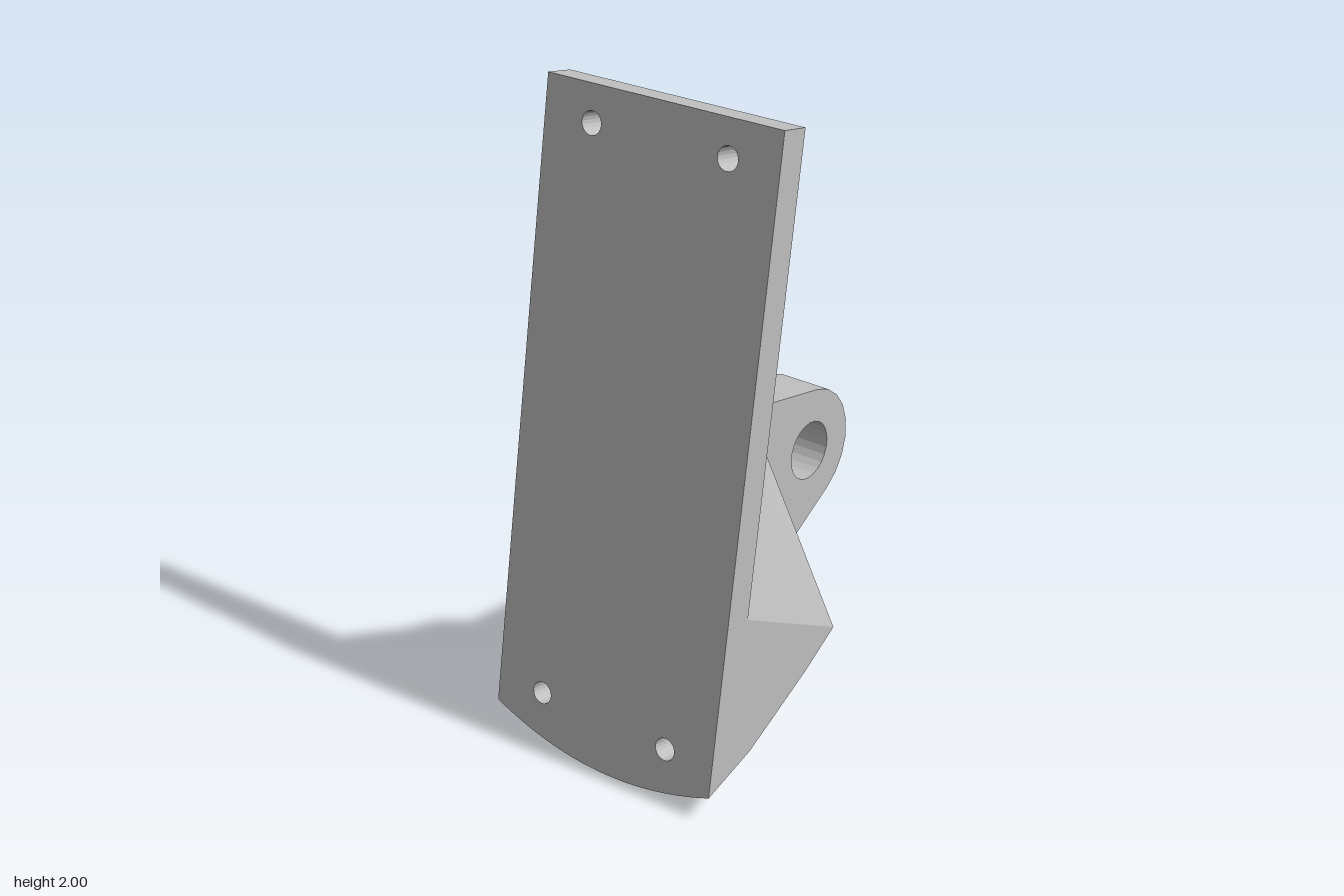
import * as THREE from 'three';

const HALF = 0.414, THICK = 0.092, HEIGHT = 2.027, TILT = 0.166;
const HOLE_X = 0.24, HOLE_Y = 0.167, HOLE_R = 0.035, BORE_R = 0.07;
const LIP = 0.046, BACK = 0.3805;

const metal = new THREE.MeshStandardMaterial({ color: 0xbfbfbf, side: THREE.DoubleSide });
metal.name = 'grey metal';

// Curve of the lower edge across the width
const sag = (x) => 0.079 * (x / HALF) ** 2;

// Underside profile: [height along the plate, depth behind its front face]
const PROFILE = [[0, 0], [0.091, 0.182], [0.274, 0.4255], [BACK, 0.5476]];
function underDepth(x, y) {
  const w = y - sag(x);
  let i = 0;
  while (i < PROFILE.length - 2 && w > PROFILE[i + 1][0]) i++;
  const [a, b] = [PROFILE[i], PROFILE[i + 1]];
  return a[1] + (b[1] - a[1]) * (w - a[0]) / (b[0] - a[0]);
}
const under = (x, y) => new THREE.Vector3(x, y, -underDepth(x, y));

// Flat-shaded mesh from triangles, each turned according to outward(centre, normal)
function facetMesh(name, triangles, outward) {
  const points = [];
  for (const [a, b, c] of triangles) {
    const n = b.clone().sub(a).cross(c.clone().sub(a));
    const mid = a.clone().add(b).add(c).divideScalar(3);
    points.push(...(outward(mid, n) ? [a, b, c] : [a, c, b]));
  }
  const geometry = new THREE.BufferGeometry().setFromPoints(points);
  geometry.computeVertexNormals();
  const mesh = new THREE.Mesh(geometry, metal);
  mesh.name = name;
  return mesh;
}
const quad = (a, b, c, d) => [[a, b, c], [a, c, d]];
const bodyCentre = new THREE.Vector3(0, 0.6, -0.22);
const fromBody = (mid, n) => n.dot(mid.clone().sub(bodyCentre)) > 0;

// Back plate with curved lower edge and four screw holes
function makePlate() {
  const shape = new THREE.Shape();
  shape.moveTo(-HALF, HEIGHT);
  for (let i = 0; i <= 16; i++) {
    const x = -HALF + (2 * HALF * i) / 16;
    shape.lineTo(x, sag(x));
  }
  shape.lineTo(HALF, HEIGHT);
  for (const x of [-HOLE_X, HOLE_X]) for (const y of [HOLE_Y, 1.916]) {
    shape.holes.push(new THREE.Path().absarc(x, y, HOLE_R, 0, Math.PI * 2, true));
  }
  const geometry = new THREE.ExtrudeGeometry(shape, { depth: THICK, bevelEnabled: false, curveSegments: 10 });
  geometry.translate(0, 0, -THICK);
  // bevel the lower edge to run on into the underside
  const p = geometry.attributes.position;
  for (let i = 0; i < p.count; i++) {
    if (p.getZ(i) < -0.05 && p.getY(i) < 0.1) p.setY(i, p.getY(i) + LIP);
  }
  geometry.computeVertexNormals();
  const mesh = new THREE.Mesh(geometry, metal);
  mesh.name = 'plate';
  return mesh;
}

// Tapered block behind the plate: top, back and flanks
function makeBody() {
  const v = (x, y, d) => new THREE.Vector3(x, y, -d);
  const tris = [];
  const ridge = (s) => [v(s * 0.157, 1.298, THICK), v(s * 0.158, 1.148, 0.259), v(s * 0.142, 1.1195, 0.36)];
  const [L, R] = [ridge(1), ridge(-1)];
  tris.push(...quad(L[0], R[0], R[1], L[1]), ...quad(L[1], R[1], R[2], L[2]));
  for (const s of [1, -1]) {
    const [a, b, c] = ridge(s);
    const shoulder = v(s * HALF, 0.613, THICK);
    const edge = [BACK, 0.274, 0.091, LIP].map((w) => under(s * HALF, w + sag(HALF)));
    tris.push([a, shoulder, edge[0]], [a, b, edge[0]], [b, c, edge[0]]);
    for (let i = 0; i < 3; i++) tris.push([shoulder, edge[i], edge[i + 1]]);
  }
  for (let i = 0; i < 16; i++) {
    const at = (k) => {
      const t = k / 8 - 1;
      return [v(t * 0.142, 1.1195, 0.36), under(t * HALF, BACK + sag(t * HALF))];
    };
    const [t0, b0] = at(i), [t1, b1] = at(i + 1);
    tris.push(...quad(t0, t1, b1, b0));
  }
  return facetMesh('body', tris, fromBody);
}

// One half of the underside, with a counterbore reaching to the plate
function makeUnderside(side) {
  const corners = [[0, LIP], [HALF, LIP], [HALF, BACK], [0, BACK]];
  const rim = [];
  for (let c = 0; c < 4; c++) {
    const [x0, w0] = corners[c], [x1, w1] = corners[(c + 1) % 4];
    for (let i = 0; i < 8; i++) {
      const x = x0 + (x1 - x0) * i / 8;
      rim.push([x, w0 + (w1 - w0) * i / 8 + sag(x)]);
    }
  }
  const RINGS = 5;
  const at = (k, ring) => {
    const [x, y] = rim[k % rim.length];
    const angle = Math.atan2(y - HOLE_Y, x - HOLE_X);
    const cx = HOLE_X + BORE_R * Math.cos(angle), cy = HOLE_Y + BORE_R * Math.sin(angle);
    const t = ring / RINGS;
    const p = under(cx + (x - cx) * t, cy + (y - cy) * t);
    p.x *= side;
    return p;
  };
  const faces = [], walls = [];
  for (let k = 0; k < rim.length; k++) {
    for (let r = 0; r < RINGS; r++) {
      faces.push(...quad(at(k, r), at(k + 1, r), at(k + 1, r + 1), at(k, r + 1)));
    }
    const a = at(k, 0), b = at(k + 1, 0);
    walls.push(...quad(a, b, b.clone().setZ(-THICK), a.clone().setZ(-THICK)));
  }
  const toAxis = (mid, n) => n.x * (side * HOLE_X - mid.x) + n.y * (HOLE_Y - mid.y) > 0;
  const half = new THREE.Group();
  half.name = side > 0 ? 'leftUnderside' : 'rightUnderside';
  half.add(facetMesh('undersideSurface', faces, (mid, n) => n.y - n.z < 0 === (n.y < 0) ? n.y < 0 : n.y < 0));
  half.add(facetMesh('counterbore', walls, toAxis));
  return half;
}

// Rounded lug with a pin hole, slightly narrower towards its tip
function makeLug() {
  const cx = 0.365, cy = 0.73, r = 0.2;
  const shape = new THREE.Shape();
  shape.moveTo(-0.1, 1.018);
  shape.lineTo(0, 0.29);
  shape.lineTo(0.04, 0.305);
  const start = -Math.PI / 3, end = 1.38;
  for (let i = 0; i <= 8; i++) {
    const a = start + (end - start) * i / 8;
    shape.lineTo(cx + r * Math.cos(a), cy + r * Math.sin(a));
  }
  shape.holes.push(new THREE.Path().absarc(cx, cy, 0.095, 0, Math.PI * 2, true));
  const geometry = new THREE.ExtrudeGeometry(shape, { depth: 1, bevelEnabled: false, curveSegments: 12 });
  geometry.translate(0, 0, -0.5);
  geometry.rotateY(Math.PI / 2);
  const p = geometry.attributes.position;
  for (let i = 0; i < p.count; i++) p.setX(i, p.getX(i) * (0.186 + 0.018 * p.getZ(i)) - 0.003);
  geometry.computeVertexNormals();
  const mesh = new THREE.Mesh(geometry, metal);
  mesh.name = 'lug';
  return mesh;
}

export function createModel() {
  const model = new THREE.Group();
  model.name = 'mountingBracket';
  const tilted = new THREE.Group();
  tilted.name = 'tiltedPlateAndBody';
  tilted.rotation.x = -TILT;
  tilted.position.z = 0.565;
  tilted.add(makePlate(), makeBody(), makeUnderside(1), makeUnderside(-1));
  model.add(tilted, makeLug());
  return model;
}
